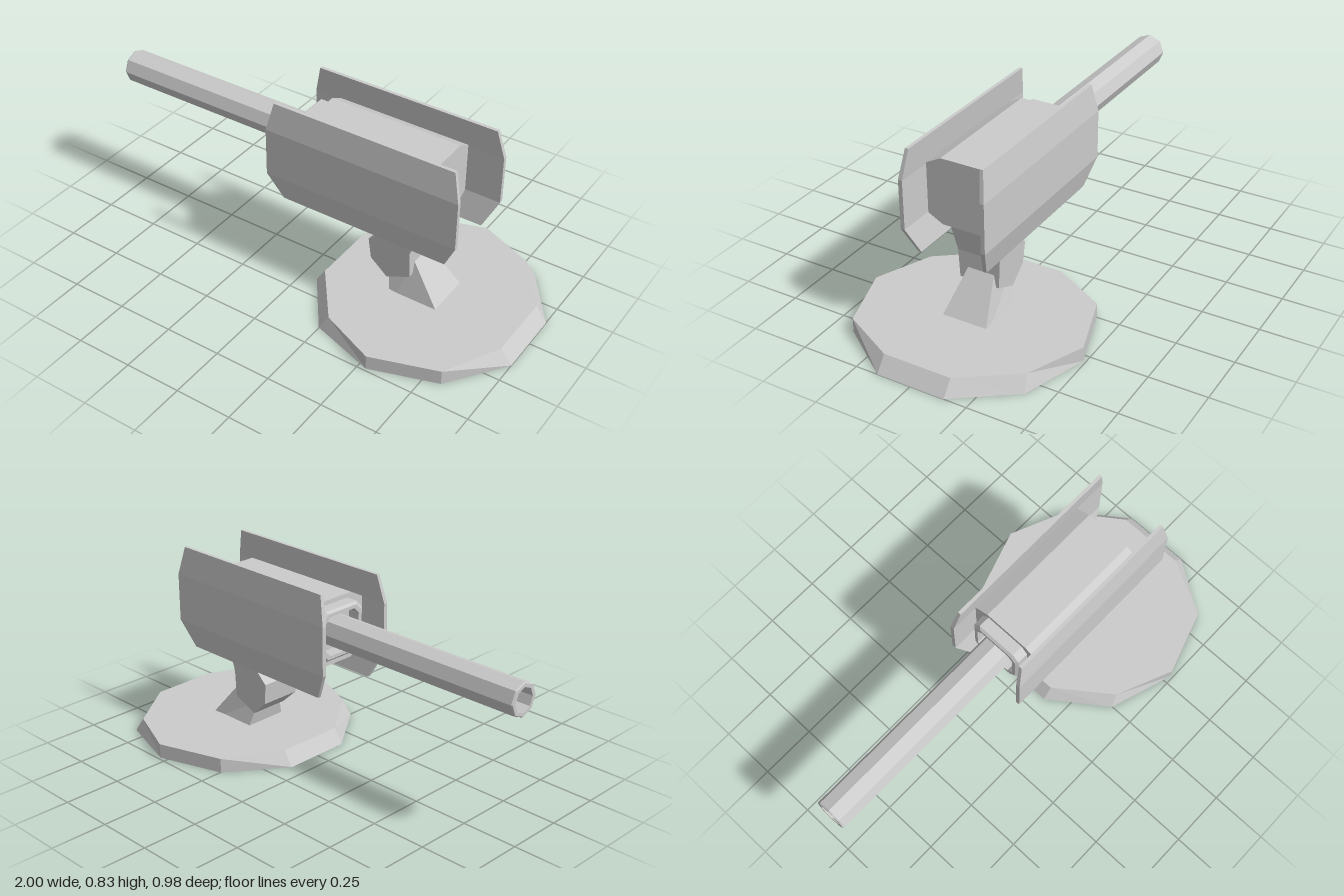
import * as THREE from 'three';

const material = new THREE.MeshStandardMaterial({ color: 0xcccccc, flatShading: true, side: THREE.DoubleSide });
const GUN_Z = 0.008; // the gun sits slightly forward of the base centre
const AXIS_Y = 0.62; // height of the barrel axis

// Skin between matching rings of [x, y, z] points, with optional end caps.
function loft(rings, capStart = true, capEnd = true) {
  const n = rings[0].length;
  const p = rings.flat().map((v) => new THREE.Vector3(...v));
  const tris = [];
  for (let r = 0; r < rings.length - 1; r++) {
    for (let i = 0; i < n; i++) {
      const a = r * n + i, b = r * n + (i + 1) % n;
      tris.push([a, b, b + n], [a, b + n, a + n]);
    }
  }
  const last = (rings.length - 1) * n;
  for (let i = 1; i < n - 1; i++) {
    if (capStart) tris.push([0, i + 1, i]);
    if (capEnd) tris.push([last, last + i, last + i + 1]);
  }
  // Turn the faces outward according to the signed volume
  let volume = 0;
  for (const [a, b, c] of tris) volume += p[a].dot(p[b].clone().cross(p[c]));
  const points = tris.flatMap(([a, b, c]) => (volume < 0 ? [a, c, b] : [a, b, c]).map((i) => p[i]));
  const geometry = new THREE.BufferGeometry().setFromPoints(points);
  geometry.computeVertexNormals();
  return geometry;
}

function add(parent, name, geometry) {
  const mesh = new THREE.Mesh(geometry, material);
  mesh.name = name;
  parent.add(mesh);
}

// Rectangle in the z-y plane with cut corners
function chamferedOutline(hz, hy, cz, cy) {
  return [[hz, hy - cy], [hz - cz, hy], [cz - hz, hy], [-hz, hy - cy],
    [-hz, cy - hy], [cz - hz, -hy], [hz - cz, -hy], [hz, cy - hy]];
}
const along = (outline, x, y, z) => outline.map(([oz, oy]) => [x, y + oy, z + oz]);

// Hollow base plate, open underneath
function createBasePlate() {
  const bottom = [];
  for (let i = 0; i < 10; i++) {
    const a = (i * 36 + 18) * Math.PI / 180;
    bottom.push([0.535 + 0.489 * Math.cos(a), 0, 0.489 * Math.sin(a)]);
  }
  // Uneven bevel: the ends are drawn in, as are two opposite corners
  const inset = [0.05, 0, 0, -0.04, -0.042, -0.042, 0, 0, 0.04, 0.05];
  const top = bottom.map(([x, , z], i) => [x - inset[i], 0.065, z * (i === 3 || i === 8 ? 0.97 : 1)]);
  return loft([bottom, top], false, true);
}

function createMount() {
  const mount = new THREE.Group();
  mount.name = 'mount';
  // Leaning hollow foot, running through the plate and narrowing to the joint
  const quad = ([x0, y0], [x1, y1], hz) => [[x0, y0, hz], [x1, y1, hz], [x1, y1, -hz], [x0, y0, -hz]];
  add(mount, 'foot', loft([
    quad([0.41, 0], [0.67, 0], 0.117),
    quad([0.37, 0.18], [0.49, 0.23], 0.06),
  ], false, true));
  // Bent neck carrying the gun, widening towards the top
  const profile = [[0.38, 0.125], [0.49, 0.175], [0.49, 0.3], [0.54, 0.47], [0.47, 0.47], [0.295, 0.29], [0.305, 0.195]];
  add(mount, 'neck', loft([-1, 1].map((s) =>
    profile.map(([x, y]) => [x, y, GUN_Z + s * (0.088 + (y - 0.125) * 0.05)]))));
  return mount;
}

// Thin side plate bent along two horizontal folds
function createShield(side) {
  // y, left x, right x, inner z, outer z
  const rows = [
    [0.375, -0.085, 0.678, 0.14, 0.155],
    [0.497, -0.145, 0.738, 0.17, 0.188],
    [0.71, -0.145, 0.738, 0.17, 0.188],
    [0.835, -0.115, 0.708, 0.155, 0.17],
  ];
  return loft(rows.map(([y, x0, x1, zi, zo]) =>
    [[x0, zo], [x1, zo], [x1, zi], [x0, zi]].map(([x, z]) => [x, y, GUN_Z + side * z])));
}

function createGun() {
  const gun = new THREE.Group();
  gun.name = 'gun';
  const body = chamferedOutline(0.169, 0.145, 0.066, 0.035);
  add(gun, 'body', loft([along(body, -0.02, 0.605, GUN_Z), along(body, 0.58, 0.605, GUN_Z)]));

  // Hollow collar around the root of the barrel, with a bevelled front rim
  const outer = chamferedOutline(0.12, 0.11, 0.03, 0.03);
  const rim = chamferedOutline(0.11, 0.1, 0.03, 0.03);
  const inner = chamferedOutline(0.095, 0.085, 0.025, 0.025);
  add(gun, 'collar', loft([
    along(outer, -0.02, AXIS_Y, 0), along(outer, -0.07, AXIS_Y, 0), along(rim, -0.08, AXIS_Y, 0),
    along(inner, -0.08, AXIS_Y, 0), along(inner, -0.025, AXIS_Y, 0),
  ], false, false));

  // Eight-sided barrel with an open bore
  const bore = [[0.072, 0], [0.072, 0.995], [0.068, 1], [0.052, 1], [0.052, 0.85], [0, 0.85]];
  const barrel = new THREE.LatheGeometry(bore.map(([r, y]) => new THREE.Vector2(r, y)), 8);
  add(gun, 'barrel', barrel.rotateZ(Math.PI / 2).translate(0, AXIS_Y, 0));

  add(gun, 'frontShield', createShield(1));
  add(gun, 'rearShield', createShield(-1));
  return gun;
}

export function createModel() {
  const model = new THREE.Group();
  model.name = 'turret';
  add(model, 'basePlate', createBasePlate());
  model.add(createMount(), createGun());
  return model;
}
